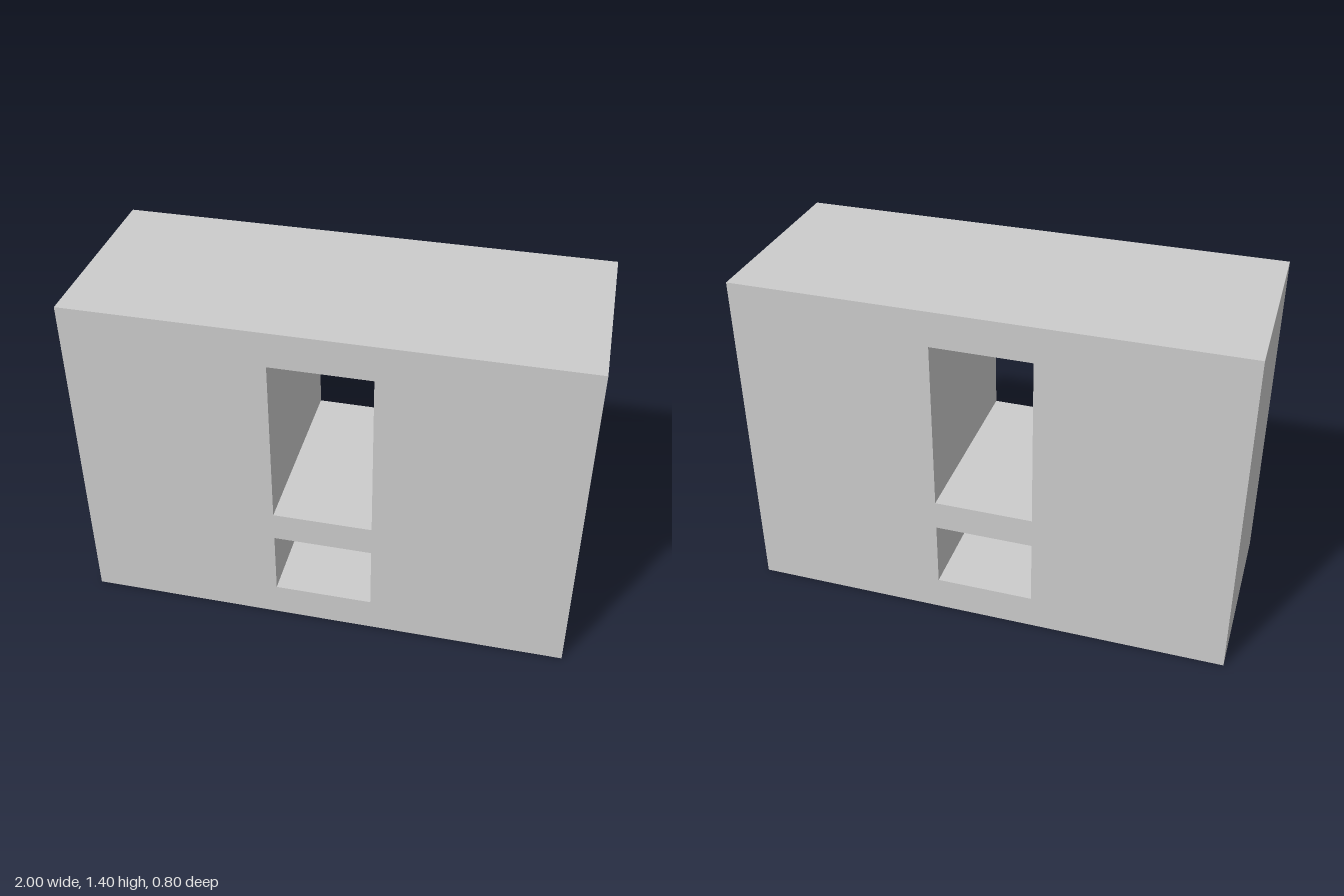
import * as THREE from 'three';

const WIDTH = 2, HEIGHT = 1.4, DEPTH = 0.8;

// Traces a rectangle centred on x = 0 onto a shape or path.
function traceRect(path, width, bottom, top) {
  const h = width / 2;
  path.moveTo(-h, bottom);
  path.lineTo(h, bottom);
  path.lineTo(h, top);
  path.lineTo(-h, top);
  path.closePath();
  return path;
}

export function createModel() {
  const group = new THREE.Group();
  group.name = 'piercedBlock';

  // Block outline with a short lower and a tall upper opening
  const outline = traceRect(new THREE.Shape(), WIDTH, 0, HEIGHT);
  for (const [bottom, top] of [[0.143, 0.42], [0.543, 1.255]]) {
    outline.holes.push(traceRect(new THREE.Path(), 0.4, bottom, top));
  }

  // Openings run right through the depth
  const geometry = new THREE.ExtrudeGeometry(outline, { depth: DEPTH, bevelEnabled: false });
  geometry.translate(0, 0, -DEPTH / 2);

  const block = new THREE.Mesh(
    geometry,
    new THREE.MeshStandardMaterial({ color: 0xcccccc, flatShading: true })
  );
  block.name = 'blockWithOpenings';
  group.add(block);
  return group;
}
